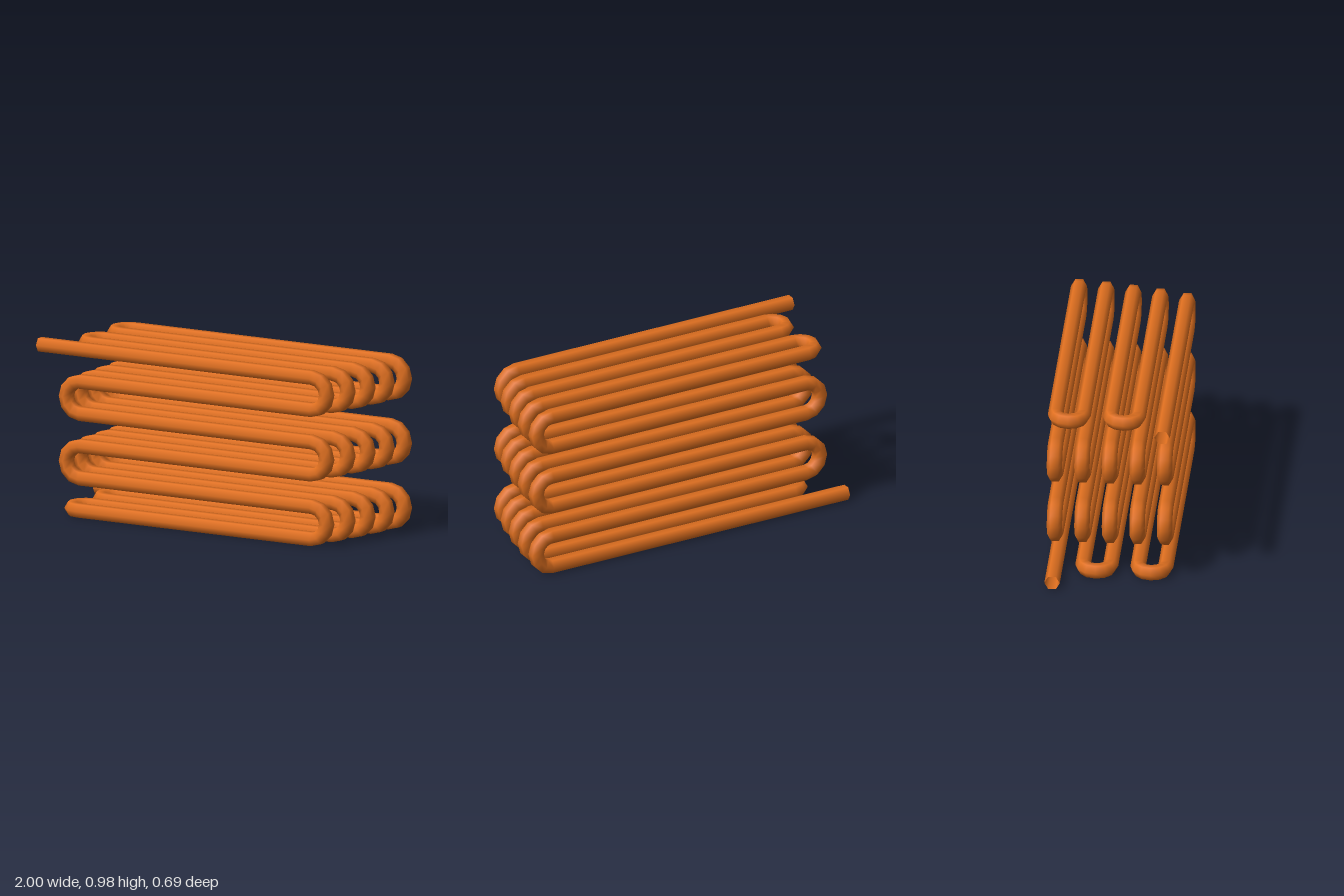
import * as THREE from 'three';

const RADIUS = 0.0425;                            // hexagonal tube, flats on top and bottom
const LAYERS = [0.302, 0.151, 0, -0.151, -0.302]; // z of each layer, front to back
const RIGHT = [0.74, 0.785, 0.822, 0.853, 0.873]; // centre x of the right-hand bends per layer
const LEFT = -0.74;                               // centre x of the left-hand bends
const ROWS = 6, PITCH = 0.1803, BOTTOM = 0.0368;
const BEND_STEPS = 6;

// Curve that passes through an explicit list of stations, each with its own tangent
class StationCurve extends THREE.Curve {
  constructor(stations) {
    super();
    this.stations = stations;
  }
  at(u) {
    return this.stations[Math.round(u * (this.stations.length - 1))];
  }
  getPoint(u, target = new THREE.Vector3()) {
    return target.copy(this.at(u).point);
  }
  getPointAt(u, target) {
    return this.getPoint(u, target);
  }
  getTangentAt(u, target = new THREE.Vector3()) {
    return target.copy(this.at(u).tangent);
  }
}

function coilStations() {
  const stations = [];
  const add = (point, tangent) => stations.push({ point, tangent });

  // Half-circle return bend from a to b, bulging towards side (+1 right, -1 left)
  const bend = (a, b, side) => {
    const centre = a.clone().add(b).multiplyScalar(0.5);
    const from = a.clone().sub(centre);
    const out = new THREE.Vector3(side * from.length(), 0, 0);
    for (let i = 0; i <= BEND_STEPS; i++) {
      const t = (Math.PI * i) / BEND_STEPS, c = Math.cos(t), s = Math.sin(t);
      add(
        centre.clone().addScaledVector(from, c).addScaledVector(out, s),
        from.clone().multiplyScalar(-s).addScaledVector(out, c).normalize()
      );
    }
  };

  const rowY = (row) => BOTTOM + row * PITCH;
  const leftward = new THREE.Vector3(-1, 0, 0);

  // Inlet at the top of the front layer
  add(new THREE.Vector3(-1, rowY(ROWS - 1), LAYERS[0]), new THREE.Vector3(1, 0, 0));

  LAYERS.forEach((z, layer) => {
    // Even layers run downwards, odd layers upwards
    const rowAt = (k) => rowY(layer % 2 === 0 ? ROWS - 1 - k : k);
    for (let k = 0; k < ROWS - 1; k++) {
      const side = k % 2 === 0 ? 1 : -1;
      const x = side > 0 ? RIGHT[layer] : LEFT;
      bend(new THREE.Vector3(x, rowAt(k), z), new THREE.Vector3(x, rowAt(k + 1), z), side);
    }
    const y = rowAt(ROWS - 1);
    if (layer < LAYERS.length - 1) {
      // Horizontal bend into the next layer
      const x = -0.752;
      bend(new THREE.Vector3(x, y, z), new THREE.Vector3(x, y, LAYERS[layer + 1]), -1);
    } else {
      // Outlet at the bottom of the back layer
      add(new THREE.Vector3(-1, y, z), leftward);
    }
  });
  return stations;
}

export function createModel() {
  const group = new THREE.Group();
  group.name = 'heatExchangerCoil';

  const stations = coilStations();
  const geometry = new THREE.TubeGeometry(
    new StationCurve(stations), stations.length - 1, RADIUS, 6, false
  );
  const material = new THREE.MeshStandardMaterial({ color: 0xe07020, side: THREE.DoubleSide });
  const tube = new THREE.Mesh(geometry, material);
  tube.name = 'serpentineTube';
  group.add(tube);
  return group;
}
